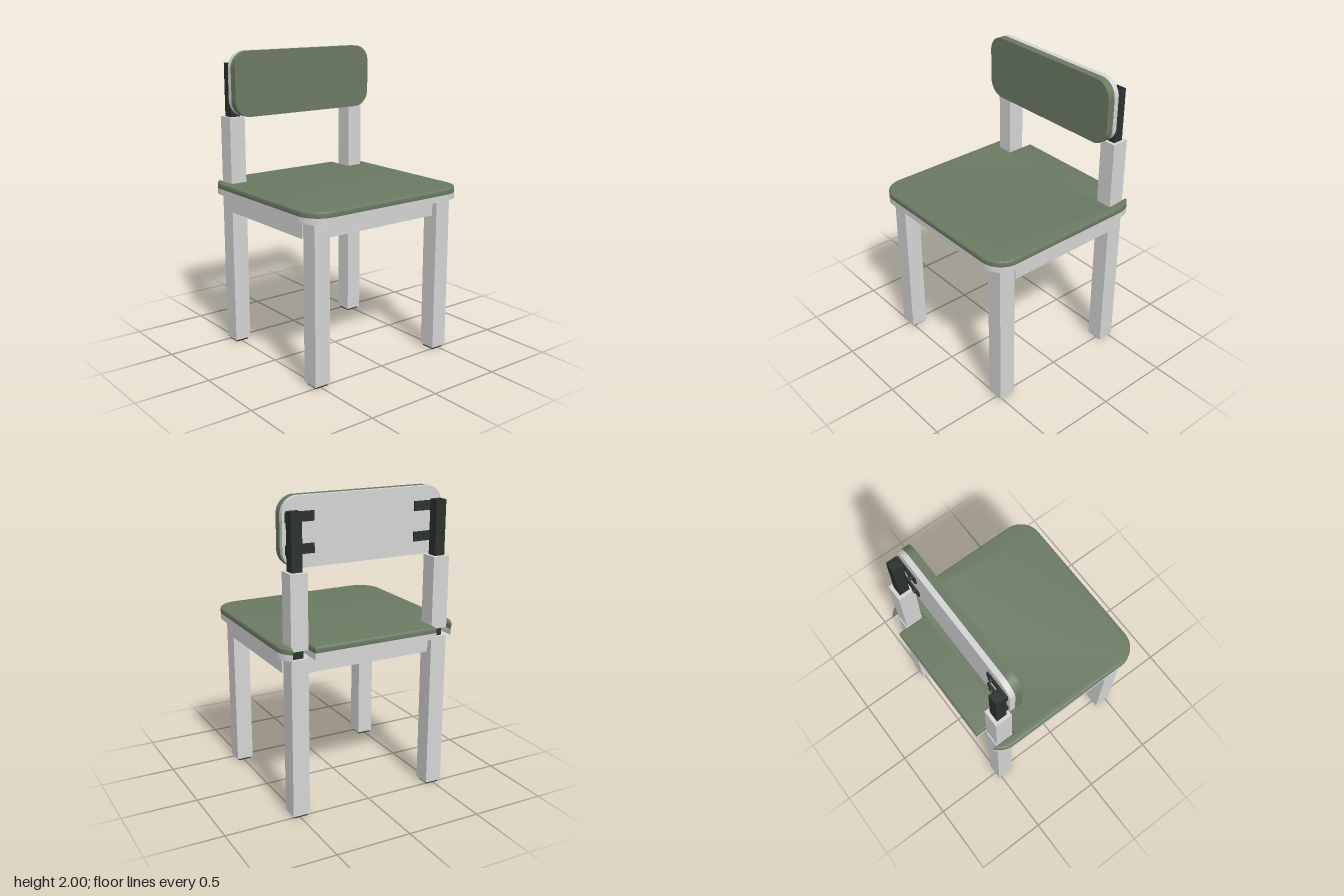
import * as THREE from 'three';
import { toCreasedNormals } from 'three/addons/utils/BufferGeometryUtils.js';

export function createModel() {
  const model = new THREE.Group();
  const material = (name, color) => {
    const m = new THREE.MeshStandardMaterial({ color });
    m.name = name;
    return m;
  };
  const green = material('sage green', 0x6b7a63);
  const white = material('pale grey', 0xd4d4d4);
  const black = material('dark metal', 0x2b322d);

  const add = (name, geometry, mat) => {
    const mesh = new THREE.Mesh(geometry, mat);
    mesh.name = name;
    model.add(mesh);
    return mesh;
  };
  // Box given by its lower and upper limits on each axis
  const box = (name, mat, x0, x1, y0, y1, z0, z1) =>
    add(name, new THREE.BoxGeometry(x1 - x0, y1 - y0, z1 - z0), mat)
      .position.set((x0 + x1) / 2, (y0 + y1) / 2, (z0 + z1) / 2);
  // Box on the side s (+1 or -1) in x and t in z
  const corner = (name, mat, s, t, x0, x1, y0, y1, z0, z1) =>
    box(name, mat, Math.min(s * x0, s * x1), Math.max(s * x0, s * x1), y0, y1,
      Math.min(t * z0, t * z1), Math.max(t * z0, t * z1));
  const extrude = (shape, depth, bevel = 0) => toCreasedNormals(new THREE.ExtrudeGeometry(shape, {
    depth: depth - 2 * bevel, curveSegments: 12, bevelEnabled: bevel > 0,
    bevelThickness: bevel, bevelSize: bevel, bevelOffset: -bevel, bevelSegments: 3,
  }).translate(0, 0, bevel), 0.6);
  const bolt = (name, r, h, x, y, z) => {
    const m = add(name, new THREE.CylinderGeometry(r, r, h, 12), black);
    m.position.set(x, y, z);
    return m;
  };

  // Seat outline with a notch round each back post (shape y is -z)
  const W = 0.613, F = -0.588, B = 0.59, R = 0.15;
  const seat = new THREE.Shape();
  seat.moveTo(-W + R, F);
  seat.lineTo(W - R, F);
  seat.absarc(W - R, F + R, R, -Math.PI / 2, 0, false);
  const earAngle = Math.acos((0.557 - W + R) / R);
  seat.absarc(W - R, B - R, R, 0, earAngle, false);
  seat.lineTo(0.557, 0.395);
  seat.lineTo(0.427, 0.395);
  seat.lineTo(0.427, B);
  seat.lineTo(-0.427, B);
  seat.lineTo(-0.427, 0.395);
  seat.lineTo(-0.557, 0.395);
  seat.absarc(-W + R, B - R, R, Math.PI - earAngle, Math.PI, false);
  seat.absarc(-W + R, F + R, R, Math.PI, Math.PI * 1.5, false);
  add('seatBase', extrude(seat, 0.04).rotateX(-Math.PI / 2), white).position.y = 1.057;
  add('seatPad', extrude(seat, 0.05, 0.012).rotateX(-Math.PI / 2), green).position.y = 1.085;

  // Backrest: rounded board with a coloured front
  const w = 0.548, y0 = 1.575, y1 = 2, r = 0.11;
  const back = new THREE.Shape();
  back.absarc(w - r, y0 + r, r, -Math.PI / 2, 0, false);
  back.absarc(w - r, y1 - r, r, 0, Math.PI / 2, false);
  back.absarc(-w + r, y1 - r, r, Math.PI / 2, Math.PI, false);
  back.absarc(-w + r, y0 + r, r, Math.PI, Math.PI * 1.5, false);
  back.closePath();
  add('backrestPad', extrude(back, 0.051), green).position.z = -0.381;
  add('backrestBoard', extrude(back, 0.035), white).position.z = -0.416;

  // Hollow square tube profile of the back supports
  const square = (Type, a) => new Type([[-a, -a], [a, -a], [a, a], [-a, a]]
    .map(([x, y]) => new THREE.Vector2(x, y)));
  const tube = square(THREE.Shape, 0.035);
  tube.holes.push(square(THREE.Path, 0.026));

  for (const s of [1, -1]) {
    for (const t of [1, -1]) {
      // Legs, feet and the metal core showing above the leg
      corner('leg', white, s, t, 0.437, 0.55, 0.015, 1.045, 0.405, 0.52);
      corner('foot', black, s, t, 0.449, 0.538, 0, 0.015, 0.417, 0.508);
      if (t > 0) corner('legCore', black, s, t, 0.458, 0.53, 1.045, 1.057, 0.427, 0.497);
      // Corner plates and bolts below the frame
      corner('cornerPlate', black, s, t, 0.36, 0.45, 0.932, 0.942, 0.29, 0.41);
      for (const z of [0.325, 0.4]) {
        bolt('frameBolt', 0.014, 0.01, s * 0.41, 0.928, t * z);
        bolt('boltTip', 0.007, 0.02, s * 0.41, 0.923, t * z);
      }
    }
    // Side rails with metal lining
    corner('sideRail', white, s, 1, 0.48, 0.56, 0.94, 1.045, -0.405, 0.405);
    corner('sideLining', black, s, 1, 0.445, 0.479, 0.942, 1.043, -0.4, 0.4);
    // Seat fixing plates
    for (const z of [-0.3, 0, 0.3])
      corner('seatPlate', black, s, 1, 0.34, 0.45, 1.043, 1.057, z - 0.05, z + 0.05);

    // Back posts with metal supports
    corner('backPost', white, s, 1, 0.437, 0.55, 1.1, 1.57, -0.52, -0.405);
    add('backSupport', extrude(tube, 0.88).rotateX(-Math.PI / 2), black)
      .position.set(s * 0.494, 1.04, -0.462);
    corner('supportPlug', black, s, 1, 0.466, 0.522, 1.88, 1.9, -0.49, -0.434);

    // Backrest brackets and screws
    for (const y of [1.69, 1.88]) {
      corner('backrestBracket', black, s, 1, 0.345, 0.53, y - 0.03, y + 0.03, -0.428, -0.416);
      bolt('bracketScrew', 0.016, 0.012, s * 0.385, y, -0.432).rotation.x = Math.PI / 2;
    }
  }

  // Front and back rails with metal lining
  for (const t of [1, -1]) {
    corner(t > 0 ? 'frontRail' : 'backRail', white, 1, t, -0.44, 0.44, 0.94, 1.045, 0.405, 0.48);
    corner('railLining', black, 1, t, -0.45, 0.45, 0.942, 1.043, 0.37, 0.404);
    for (const x of [-0.25, 0.25])
      bolt('railScrew', 0.014, 0.01, x, 0.99, t * 0.366).rotation.x = Math.PI / 2;
  }
  return model;
}
